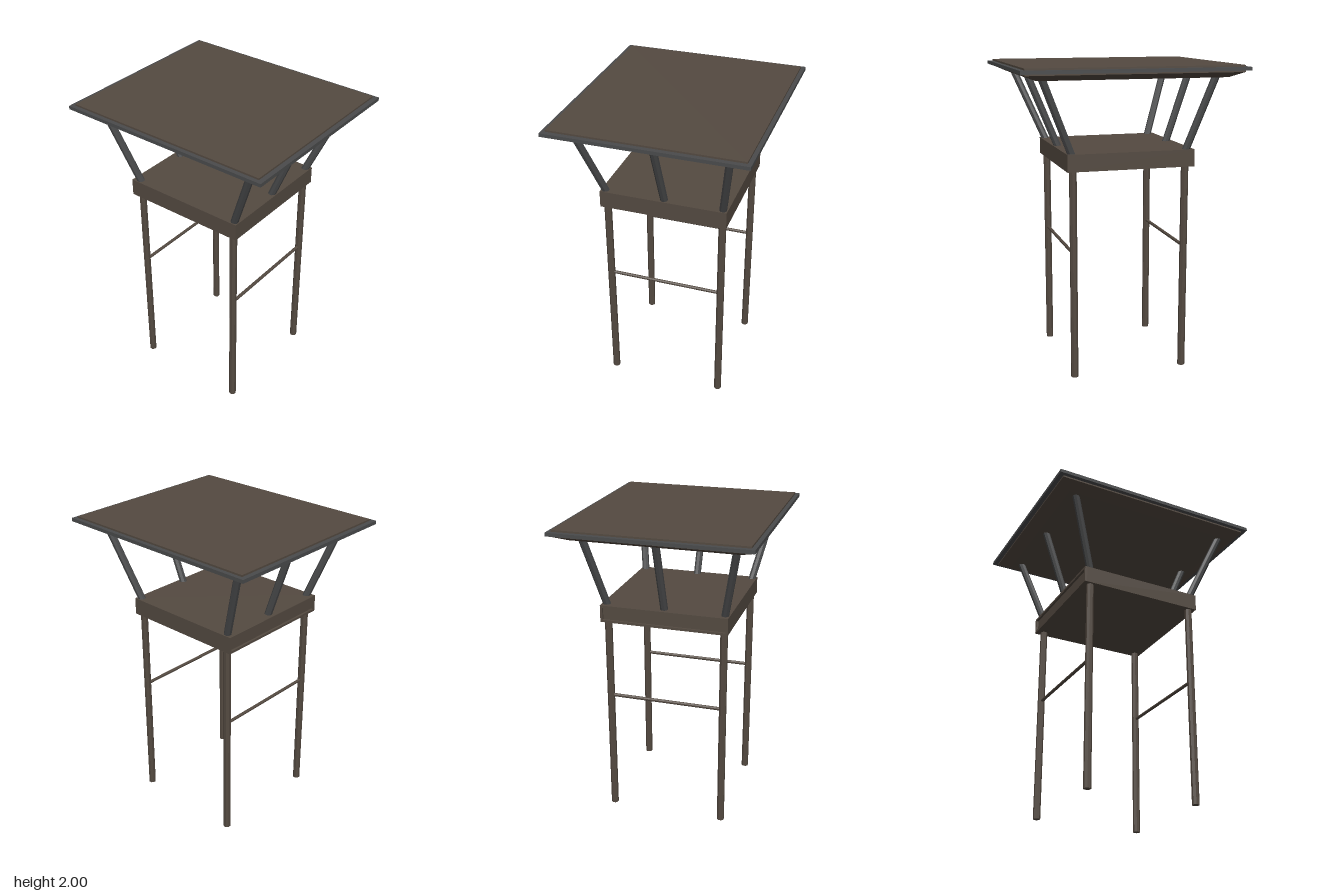
import * as THREE from 'three';

const wood = new THREE.MeshStandardMaterial({ color: 0x544a41, flatShading: true });
const metal = new THREE.MeshStandardMaterial({ color: 0x4a4b4c, flatShading: true });

export function createModel() {
  const model = new THREE.Group();

  const add = (name, geometry, material) => {
    const mesh = new THREE.Mesh(geometry, material);
    mesh.name = name;
    model.add(mesh);
    return mesh;
  };

  // Box given by its lower and upper corners
  const box = (name, a, b, material) =>
    add(name, new THREE.BoxGeometry(b[0] - a[0], b[1] - a[1], b[2] - a[2]), material)
      .position.set((a[0] + b[0]) / 2, (a[1] + b[1]) / 2, (a[2] + b[2]) / 2);

  // Eight-sided pole between two points
  const pole = (name, a, b, radius, material) => {
    const from = new THREE.Vector3(...a), to = new THREE.Vector3(...b);
    const dir = to.clone().sub(from);
    const geometry = new THREE.CylinderGeometry(radius, radius, dir.length(), 8).rotateY(Math.PI / 8);
    const mesh = add(name, geometry, material);
    mesh.position.copy(from).add(to).multiplyScalar(0.5);
    mesh.quaternion.setFromUnitVectors(new THREE.Vector3(0, 1, 0), dir.normalize());
  };

  // Legs, side rails and slanted roof posts
  for (const side of [-1, 1]) {
    const legX = side < 0 ? -0.382 : 0.355;
    const sideName = side < 0 ? 'right' : 'left';
    for (const z of [-0.378, 0.378]) pole(sideName + 'Leg', [legX, 0, z], [legX, 1.37, z], 0.024, wood);
    pole(sideName + 'Rail', [legX, 0.827, -0.37], [legX, 0.827, 0.37], 0.011, wood);

    const footX = side < 0 ? -0.382 : 0.36;
    const headX = side < 0 ? -0.55 : 0.565;
    for (const [z0, z1] of [[-0.38, -0.47], [-0.005, -0.005], [0.38, 0.488]])
      pole(sideName + 'RoofPost', [footX, 1.45, z0], [headX, 1.945, z1], 0.024, metal);
  }

  // Platform, with a shallow framed recess on its right side
  box('platform', [-0.42, 1.355, -0.413], [0.397, 1.465, 0.413], wood);
  for (const y of [1.355, 1.45]) box('recessRail', [-0.435, y, -0.413], [-0.42, y + 0.015, 0.413], wood);
  for (const z of [-0.413, 0.398]) box('recessStile', [-0.435, 1.37, z], [-0.42, 1.45, z + 0.015], wood);

  // Roof slab, its projecting trim, and the tapered underside
  box('roofPanel', [-0.685, 1.957, -0.597], [0.685, 2, 0.597], wood);
  const rect = (path, x, z) => path.moveTo(-x, -z).lineTo(x, -z).lineTo(x, z).lineTo(-x, z).closePath();
  const trim = rect(new THREE.Shape(), 0.715, 0.623);
  trim.holes.push(rect(new THREE.Path(), 0.684, 0.596));
  const trimGeometry = new THREE.ExtrudeGeometry(trim, { depth: 0.022, bevelEnabled: false });
  add('roofTrim', trimGeometry.rotateX(-Math.PI / 2), metal).position.y = 1.967;

  const taper = new THREE.BoxGeometry(1.37, 0.035, 1.194);
  const p = taper.attributes.position;
  for (let i = 0; i < p.count; i++)
    if (p.getY(i) < 0) p.setXYZ(i, Math.sign(p.getX(i)) * 0.605, p.getY(i), Math.sign(p.getZ(i)) * 0.52);
  add('roofUnderside', taper, wood).position.y = 1.94;

  return model;
}
